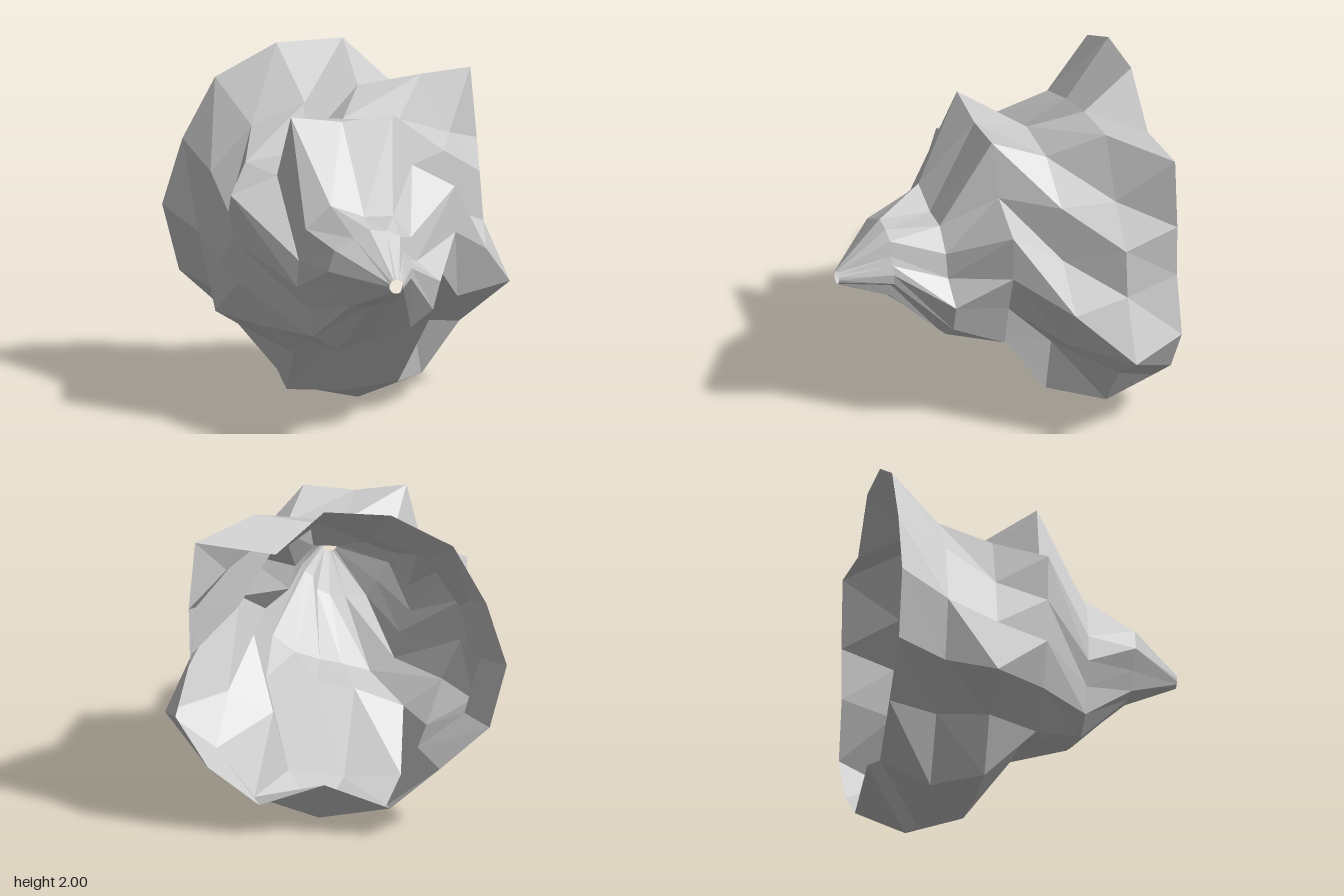
import * as THREE from 'three';

// Open, crumpled cone: seven rings, each with its own centre and 16 uneven spokes.
const SIDES = 16;
const rings = [
  { z: 0.88, x: 0.09, y: 1.015, r: Array(SIDES).fill(0.04) },
  { z: 0.587, x: 0.08, y: 1.04, r: [.14, .13, .14, .2, .22, .25, .26, .32, .33, .28, .29, .22, .2, .185, .13, .15] },
  { z: 0.293, x: 0, y: 0.88, r: [.43, .32, .37, .42, .39, .5, .47, .4, .38, .345, .41, .4, .33, .33, .37, .42] },
  { z: 0, x: -0.08, y: 1.085, r: [.64, .69, .56, .745, .66, .755, .52, .68, .61, .64, .69, .71, .555, .57, .7, .61] },
  { z: -0.293, x: -0.03, y: 0.905, r: [.81, .64, .81, .83, .78, .65, .78, .7, .7, .78, .65, .83, .785, .81, .56, .7] },
  { z: -0.587, x: 0.1, y: 0.99, r: [.71, .745, .73, .93, .81, .78, .85, .9, .9, .88, .78, .985, .99, .94, .81, .93] },
  { z: -0.88, x: 0.06, y: 1.08, r: [.75, .82, 1.02, .71, .92, .98, 1.02, .98, 1.02, 1, .91, .96, .75, .95, .92, .9] },
];

// Point on a ring at a given spoke
function ringPoint(ring, spoke) {
  const k = spoke % SIDES;
  const angle = (k / SIDES) * Math.PI * 2;
  return [ring.x + Math.cos(angle) * ring.r[k], ring.y + Math.sin(angle) * ring.r[k], ring.z];
}

// Skin neighbouring rings with two triangles per panel
function shellGeometry() {
  const positions = [];
  for (let i = 0; i < rings.length - 1; i++) {
    for (let k = 0; k < SIDES; k++) {
      const a = ringPoint(rings[i], k), b = ringPoint(rings[i], k + 1);
      const c = ringPoint(rings[i + 1], k), d = ringPoint(rings[i + 1], k + 1);
      positions.push(...a, ...c, ...b, ...b, ...c, ...d);
    }
  }
  const geometry = new THREE.BufferGeometry();
  geometry.setAttribute('position', new THREE.Float32BufferAttribute(positions, 3));
  geometry.computeVertexNormals();
  return geometry;
}

export function createModel() {
  const model = new THREE.Group();
  model.name = 'crumpledCone';
  const grey = new THREE.MeshStandardMaterial({ color: 0xcccccc, flatShading: true, side: THREE.DoubleSide });
  grey.name = 'light grey';

  // Thin shell, open at the tip and at the back
  const shell = new THREE.Mesh(shellGeometry(), grey);
  shell.name = 'shell';
  model.add(shell);
  return model;
}
